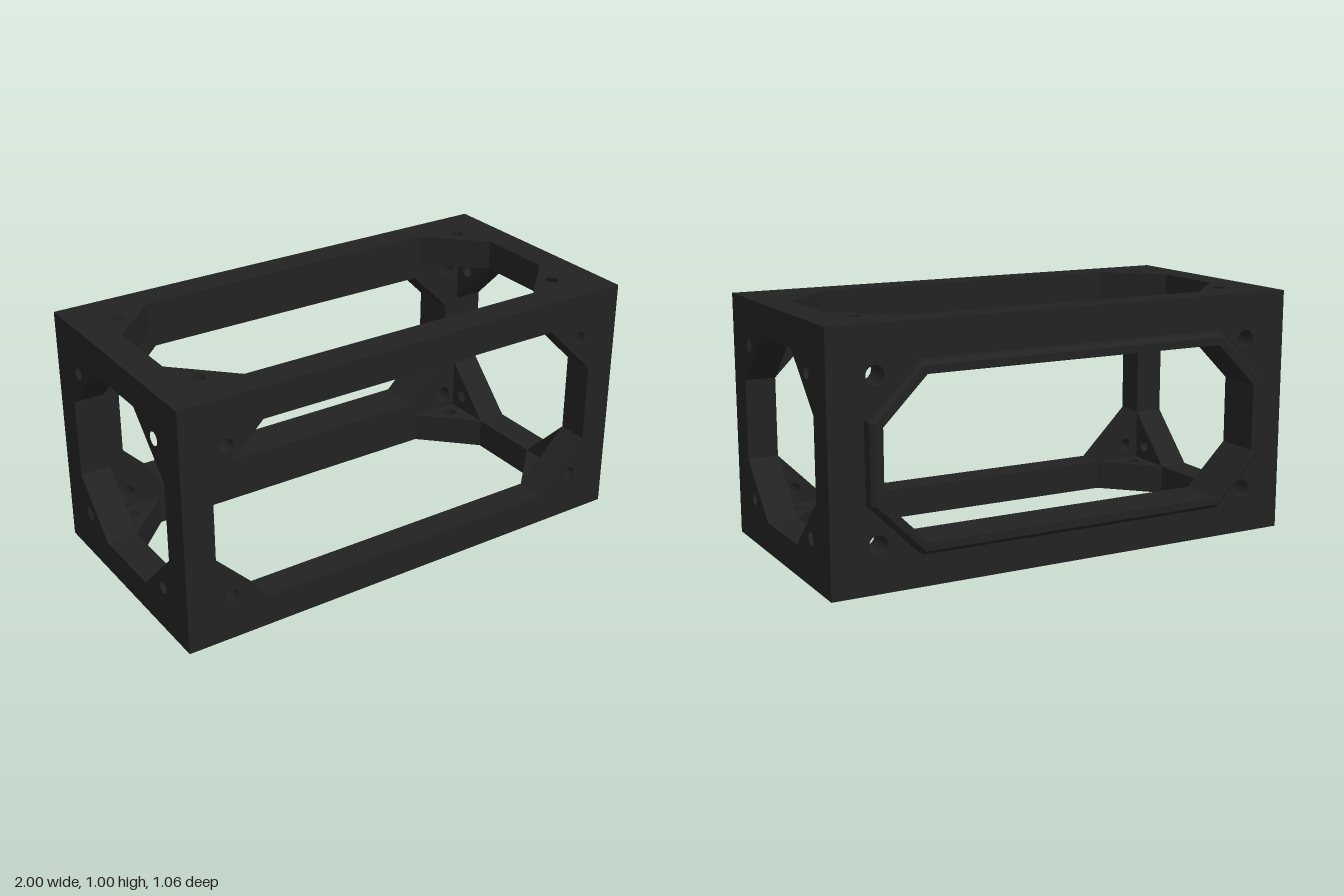
import * as THREE from 'three';
import { toCreasedNormals } from 'three/addons/utils/BufferGeometryUtils.js';

const T = 0.125;        // bar and plate thickness
const ZC = 0.031;       // centre of the box in z
const LIP = 0.0625;     // depth of the rear lip
const CUT = 0.2125;     // corner cut of the openings
const HOLE = 0.027;     // bolt hole radius

const material = new THREE.MeshStandardMaterial({ color: 0x222222 });

// Corners of a 1.75 x 0.75 octagonal opening, shrunk inward by d
function octagon(d) {
  const w = 0.875 - d, h = 0.375 - d, c = CUT - d * (2 - Math.SQRT2);
  return [[w, c - h], [w, h - c], [w - c, h], [c - w, h], [-w, h - c], [-w, c - h], [c - w, -h], [w - c, -h]]
    .map(([x, y]) => new THREE.Vector2(x, y));
}

function circle(x, y, r) {
  return new THREE.Path().absarc(x, y, r, 0, Math.PI * 2, true);
}

function extrude(shape) {
  return toCreasedNormals(
    new THREE.ExtrudeGeometry(shape, { depth: T, bevelEnabled: false, curveSegments: 32 }), 0.5);
}

// Full end plate with an octagonal opening and four bolt holes
function plate(inset, holeRadius) {
  const shape = new THREE.Shape([[-1, -0.5], [1, -0.5], [1, 0.5], [-1, 0.5]].map(p => new THREE.Vector2(...p)));
  shape.holes.push(new THREE.Path(octagon(inset)));
  for (const sx of [-1, 1]) for (const sy of [-1, 1])
    shape.holes.push(circle(sx * 0.8125, sy * 0.3125, holeRadius));
  return extrude(shape);
}

// Triangular corner plate with a bolt hole, in the corner (sx*w, sy*h)
function gusset(w, h, sx, sy) {
  const shape = new THREE.Shape([[w, h], [w - CUT, h], [w, h - CUT]]
    .map(([x, y]) => new THREE.Vector2(sx * x, sy * y)));
  shape.holes.push(circle(sx * (w - 0.0625), sy * (h - 0.0625), HOLE));
  return extrude(shape);
}

// Octagonal ring swept through [inset, z] profile points
function ring(profile) {
  const loops = profile.map(([d, z]) => octagon(d).map(p => [p.x, p.y, z]));
  const pos = [];
  for (let j = 0; j < loops.length - 1; j++) {
    for (let i = 0; i < 8; i++) {
      const k = (i + 1) % 8;
      const a = loops[j][i], b = loops[j][k], c = loops[j + 1][k], d = loops[j + 1][i];
      pos.push(...a, ...c, ...b, ...a, ...d, ...c);
    }
  }
  const g = new THREE.BufferGeometry();
  g.setAttribute('position', new THREE.Float32BufferAttribute(pos, 3));
  g.computeVertexNormals();
  return g;
}

export function createModel() {
  const model = new THREE.Group();
  model.name = 'boxFrame';
  const add = (name, geometry, x, y, z) => {
    const mesh = new THREE.Mesh(geometry, material);
    mesh.name = name;
    mesh.position.set(x, y, z);
    model.add(mesh);
    return mesh;
  };

  // Front and rear plates; the rear opening is narrower and its holes wider
  add('frontPlate', plate(0, HOLE), 0, 0.5, ZC + 0.5 - T);
  add('rearPlate', plate(0.0625, 0.0375), 0, 0.5, ZC - 0.5);

  // Bevelled locating lip behind the rear plate
  add('rearLip', ring([[0.0156, 0], [0.0156, -LIP + 0.0156], [0.0312, -LIP], [0.0625, -LIP], [0.0625, 0]]),
    0, 0.5, ZC - 0.5);

  for (const sx of [-1, 1]) for (const sy of [-1, 1]) {
    // Bars joining the two plates
    add('cornerBar', new THREE.BoxGeometry(T, T, 1 - 2 * T),
      sx * (1 - T / 2), 0.5 + sy * (0.5 - T / 2), ZC);

    // Corner plates of the top and bottom openings
    const flat = gusset(0.875, 0.375, sx, sy).rotateX(-Math.PI / 2);
    add('topGusset', flat, 0, 1 - T, ZC);
    add('bottomGusset', flat, 0, 0, ZC);

    // Corner plates of the side openings
    const upright = gusset(0.375, 0.375, sx, sy).rotateY(Math.PI / 2);
    add('leftGusset', upright, 1 - T, 0.5, ZC);
    add('rightGusset', upright, -1, 0.5, ZC);
  }

  // Cluster of fine rings on the top rear corner
  const fine = new THREE.RingGeometry(0.013, 0.017, 20).rotateX(-Math.PI / 2);
  for (let i = 0; i < 6; i++) {
    const a = i * Math.PI / 3;
    add('markerRing', fine, 0.92 + 0.032 * Math.cos(a), 1.001, -0.4 + 0.032 * Math.sin(a));
  }
  return model;
}
